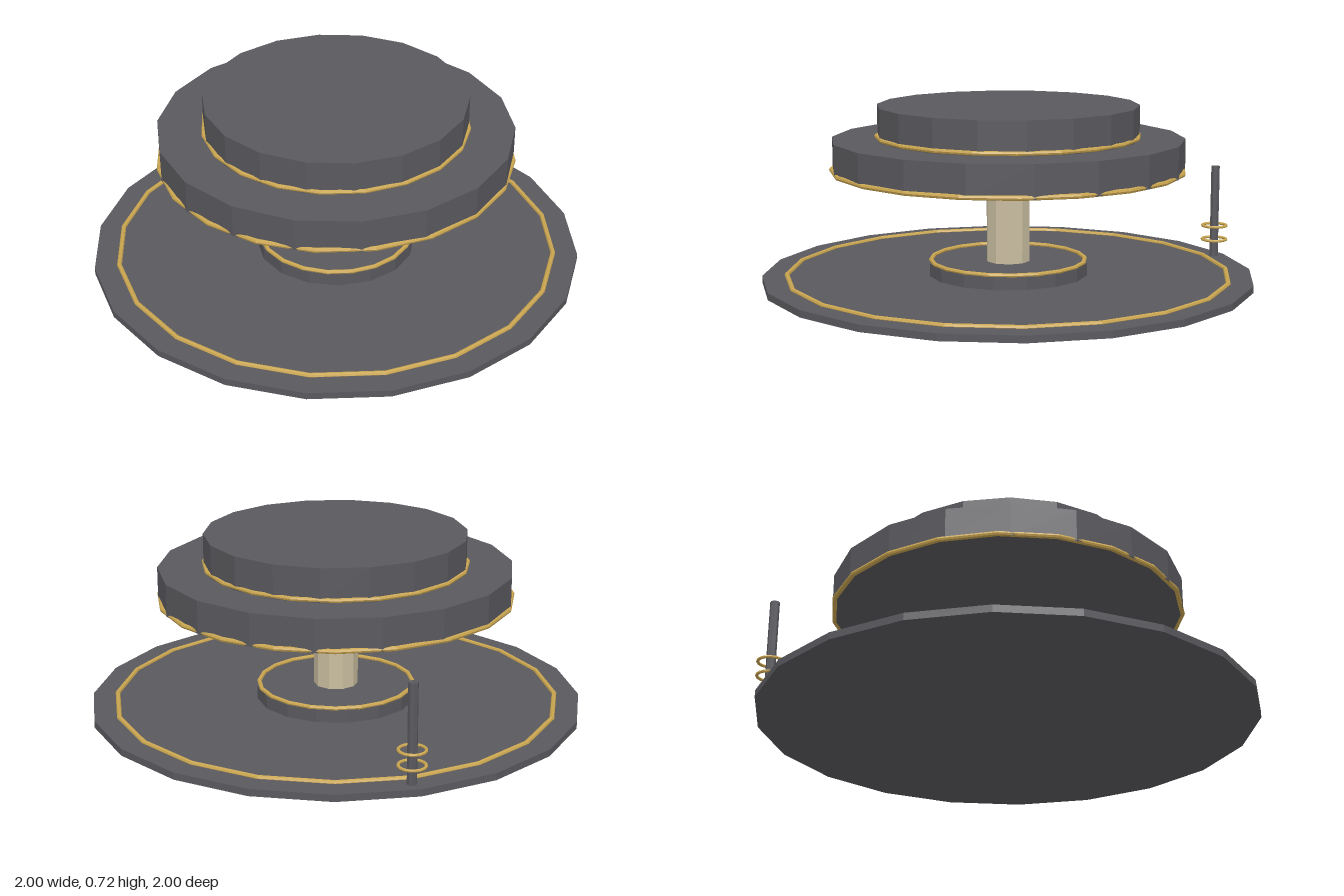
import * as THREE from 'three';

export function createModel() {
  const model = new THREE.Group();
  model.name = 'tieredPedestal';

  const flat = (name, color) => new THREE.MeshStandardMaterial({ name, color, flatShading: true });
  const slate = flat('slateGrey', 0x5a595e);
  const gold = flat('gold', 0xc9a550);
  const stone = flat('paleStone', 0xcabea0);

  // Upright prism between two heights
  function drum(name, radius, y0, y1, sides, material, x = 0, z = 0) {
    const mesh = new THREE.Mesh(new THREE.CylinderGeometry(radius, radius, y1 - y0, sides), material);
    mesh.name = name;
    mesh.position.set(x, (y0 + y1) / 2, z);
    model.add(mesh);
  }

  // Horizontal trim ring
  function ring(name, radius, tube, y, segments, x = 0, z = 0) {
    const geometry = new THREE.TorusGeometry(radius, tube, 8, segments).rotateX(Math.PI / 2);
    const mesh = new THREE.Mesh(geometry, gold);
    mesh.name = name;
    mesh.position.set(x, y, z);
    model.add(mesh);
  }

  // Base plate and foot
  drum('basePlate', 1, 0, 0.028, 20, slate);
  ring('baseTrim', 0.9, 0.01, 0.03, 20);
  drum('foot', 0.325, 0.028, 0.08, 16, slate);
  ring('footTrim', 0.315, 0.009, 0.085, 20);

  // Column carrying the two upper tiers
  drum('column', 0.09, 0.08, 0.46, 10, stone);
  drum('lowerTier', 0.715, 0.455, 0.585, 18, slate);
  ring('lowerTierTrim', 0.712, 0.01, 0.461, 20);
  drum('upperTier', 0.53, 0.585, 0.72, 18, slate);
  ring('upperTierTrim', 0.53, 0.009, 0.596, 20);

  // Thin post with two loose rings at the back edge
  const [px, pz] = [0.57, -0.755];
  drum('post', 0.019, 0.028, 0.417, 8, slate, px, pz);
  [0.1, 0.16].forEach((y) => ring('postRing', 0.051, 0.006, y, 16, px, pz));

  return model;
}
